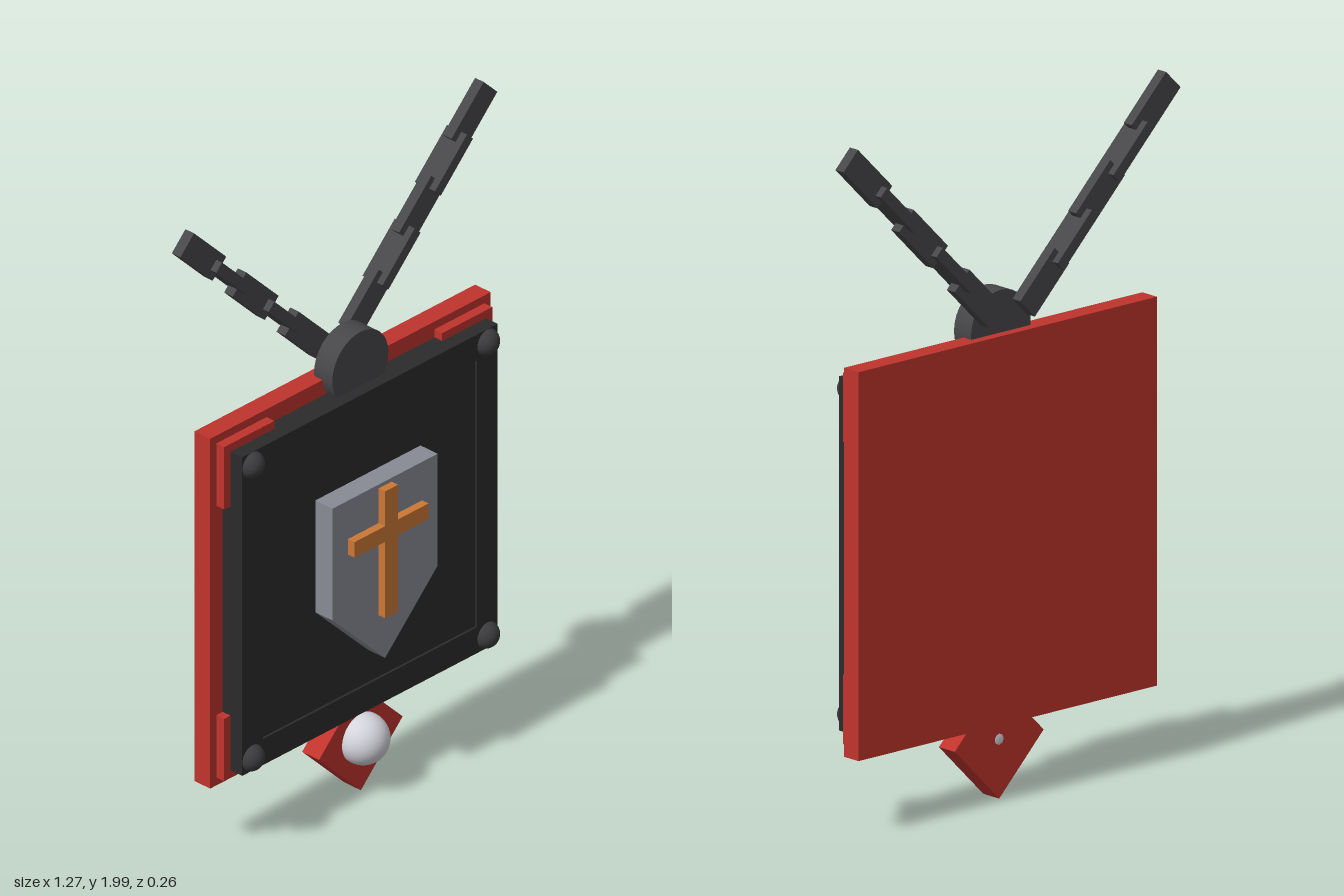
import * as THREE from 'three';

const mat = (name, color) => {
  const m = new THREE.MeshStandardMaterial({ color });
  m.name = name;
  return m;
};

export function createModel() {
  const red = mat('red', 0xc0342d);
  const black = mat('black', 0x2b2b2b);
  const iron = mat('dark iron', 0x47474a);
  const rivetIron = mat('rivet iron', 0x3c3c3e);
  const steel = mat('steel', 0x888b94);
  const copper = mat('copper', 0xcb7736);
  const pearl = mat('pearl', 0xd4d4dc);

  const root = new THREE.Group();
  root.name = 'hangingShieldSign';
  const add = (name, geometry, material, x, y, z, parent = root) => {
    const m = new THREE.Mesh(geometry, material);
    m.name = name;
    m.position.set(x, y, z);
    parent.add(m);
    return m;
  };
  // Box given by its centre in x and y and its back and front in z
  const box = (name, material, x, y, w, h, z0, z1, parent = root) =>
    add(name, new THREE.BoxGeometry(w, h, z1 - z0), material, x, y, (z0 + z1) / 2, parent);

  const cy = 0.787; // height of the panel centre

  // Red backing board
  box('backBoard', red, 0, cy, 1.12, 1.12, -0.09, -0.03);

  // L-shaped corner brackets and round rivets
  for (const sx of [-1, 1]) {
    for (const sy of [-1, 1]) {
      const bracket = new THREE.Group();
      bracket.name = 'cornerBracket';
      root.add(bracket);
      box('bracketArm', red, sx * 0.435, cy + sy * 0.505, 0.2, 0.06, -0.03, 0, bracket);
      box('bracketLeg', red, sx * 0.505, cy + sy * 0.405, 0.06, 0.14, -0.03, 0, bracket);
      bracket.children[1].position.y = cy + sy * 0.405;
      add('rivet', new THREE.SphereGeometry(0.041, 24, 16), rivetIron, sx * 0.469, cy + sy * 0.469, 0.037);
    }
  }

  // Black panel inside a slightly raised square rim
  box('panel', black, 0, cy, 0.9, 0.9, -0.03, 0.037);
  const rim = new THREE.Shape();
  rim.moveTo(-0.51, -0.51).lineTo(0.51, -0.51).lineTo(0.51, 0.51).lineTo(-0.51, 0.51).closePath();
  const hole = new THREE.Path();
  hole.moveTo(-0.427, -0.427).lineTo(-0.427, 0.427).lineTo(0.427, 0.427).lineTo(0.427, -0.427).closePath();
  rim.holes.push(hole);
  add('panelRim', new THREE.ExtrudeGeometry(rim, { depth: 0.075, bevelEnabled: false }), black, 0, cy, -0.03);

  // Pointed shield
  const shield = new THREE.Shape();
  shield.moveTo(-0.21, 1.03).lineTo(-0.21, 0.672).lineTo(0, 0.464).lineTo(0.21, 0.672).lineTo(0.21, 1.03).closePath();
  add('shield', new THREE.ExtrudeGeometry(shield, { depth: 0.068, bevelEnabled: false }), steel, 0, 0, 0.035);

  // Cross
  box('crossUpright', copper, 0, 0.815, 0.052, 0.406, 0.095, 0.128);
  for (const s of [-1, 1]) box('crossArm', copper, s * 0.087, 0.882, 0.122, 0.05, 0.095, 0.128);

  // Hanger disc
  const disc = new THREE.CylinderGeometry(0.112, 0.112, 0.07, 32).rotateX(Math.PI / 2);
  add('hangerDisc', disc, iron, 0, 1.358, -0.027);

  // Lower diamond with its bead
  const diamond = box('diamond', red, 0, 0.17, 0.236, 0.236, -0.055, 0.01);
  diamond.rotation.z = Math.PI / 4;
  add('bead', new THREE.SphereGeometry(0.076, 32, 20), pearl, 0, 0.174, 0.019);

  // Two chains, links alternating between flat and edge-on
  for (const s of [-1, 1]) {
    const chain = new THREE.Group();
    chain.name = s > 0 ? 'leftChain' : 'rightChain';
    root.add(chain);
    for (let i = 0; i < 5; i++) {
      const flat = i % 2 === 0;
      const link = new THREE.BoxGeometry(flat ? 0.077 : 0.033, 0.182, flat ? 0.033 : 0.077);
      const m = add('chainLink', link, iron, s * (0.123 + i * 0.1045), 1.477 + i * 0.1065, -0.091, chain);
      m.rotation.z = -s * Math.PI / 4;
    }
  }
  return root;
}
